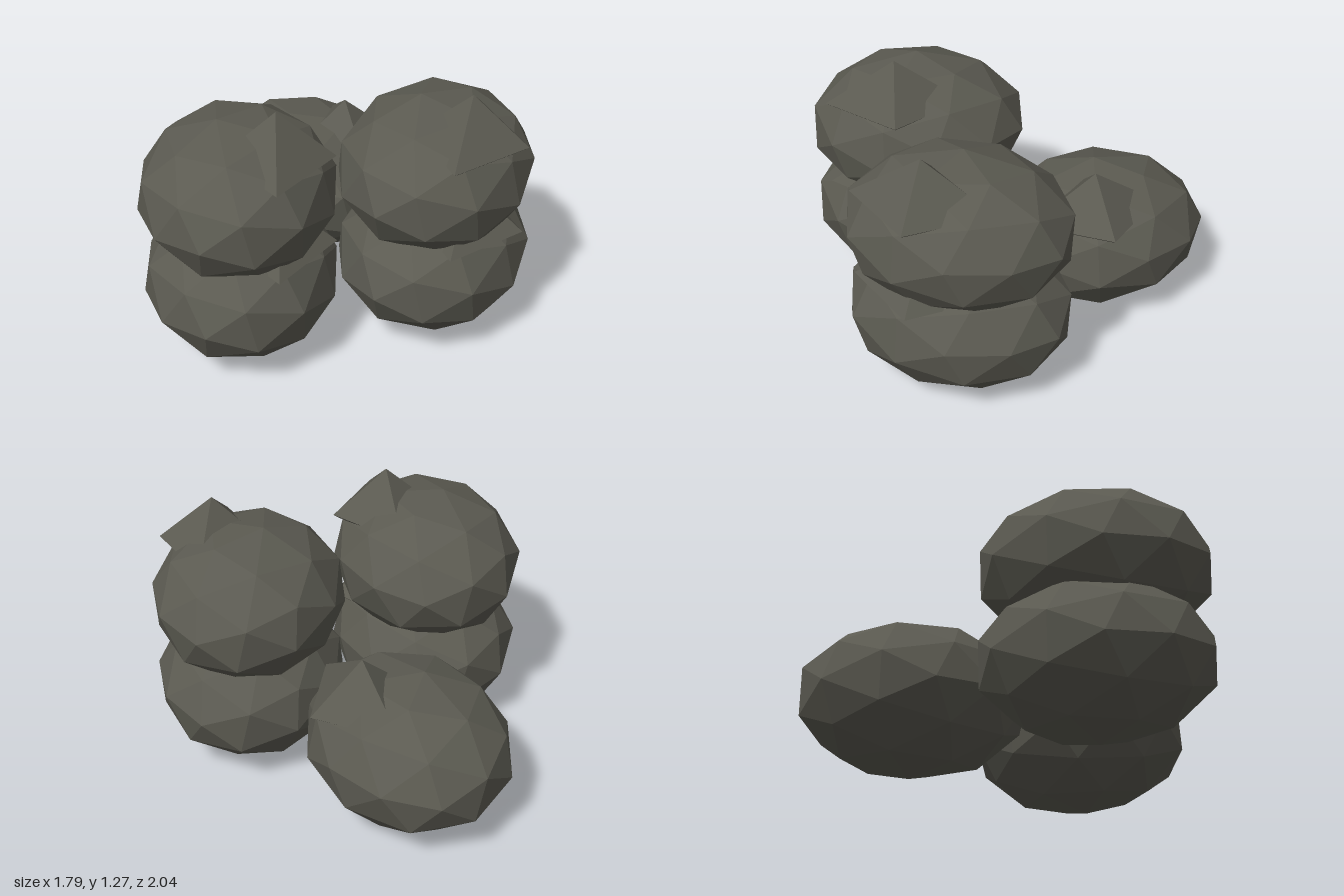
import * as THREE from 'three';

const cloth = new THREE.MeshStandardMaterial({ color: 0x5b5a51, flatShading: true });
cloth.name = 'dark sackcloth';

// Faceted normals for a geometry
function faceted(geometry) {
  const g = geometry.index ? geometry.toNonIndexed() : geometry;
  g.computeVertexNormals();
  return g;
}

// Plump body: a tilted low-poly ball squashed into an ellipsoid
function bodyGeometry() {
  const g = new THREE.IcosahedronGeometry(1, 1);
  g.rotateY(0.69);
  g.rotateZ(0.17);
  g.scale(0.475, 0.366, 0.56);
  return faceted(g);
}

// Gathered corner: a four-sided peak with a thin tucked-under rim
function peakGeometry() {
  const profile = [[0, -0.03], [0.86, -0.025], [1, 0], [0, 0.23]];
  const g = new THREE.LatheGeometry(profile.map(([r, y]) => new THREE.Vector2(r, y)), 4);
  g.scale(0.27, 1, 0.345);
  return faceted(g);
}

export function createModel() {
  const model = new THREE.Group();
  model.name = 'sackPile';
  const bodyGeo = bodyGeometry();
  const peakGeo = peakGeometry();

  // Each pile: x, z, turn and number of sacks
  const piles = [
    { name: 'frontPile', x: -0.4, z: 0.48, turn: 0.34, count: 2 },
    { name: 'sidePile', x: 0.43, z: -0.005, turn: 0, count: 2 },
    { name: 'backSack', x: -0.4, z: -0.49, turn: 0.63, count: 1 },
  ];

  for (const { name, x, z, turn, count } of piles) {
    for (let level = 0; level < count; level++) {
      const sack = new THREE.Group();
      sack.name = `${name}Level${level + 1}`;
      const body = new THREE.Mesh(bodyGeo, cloth);
      body.name = 'sackBody';
      const peak = new THREE.Mesh(peakGeo, cloth);
      peak.name = 'sackPeak';
      peak.position.set(0.19, 0.22, 0.11);
      sack.add(body, peak);
      sack.position.set(x, 0.36 + level * 0.46, z);
      sack.rotation.y = turn;
      model.add(sack);
    }
  }
  return model;
}
